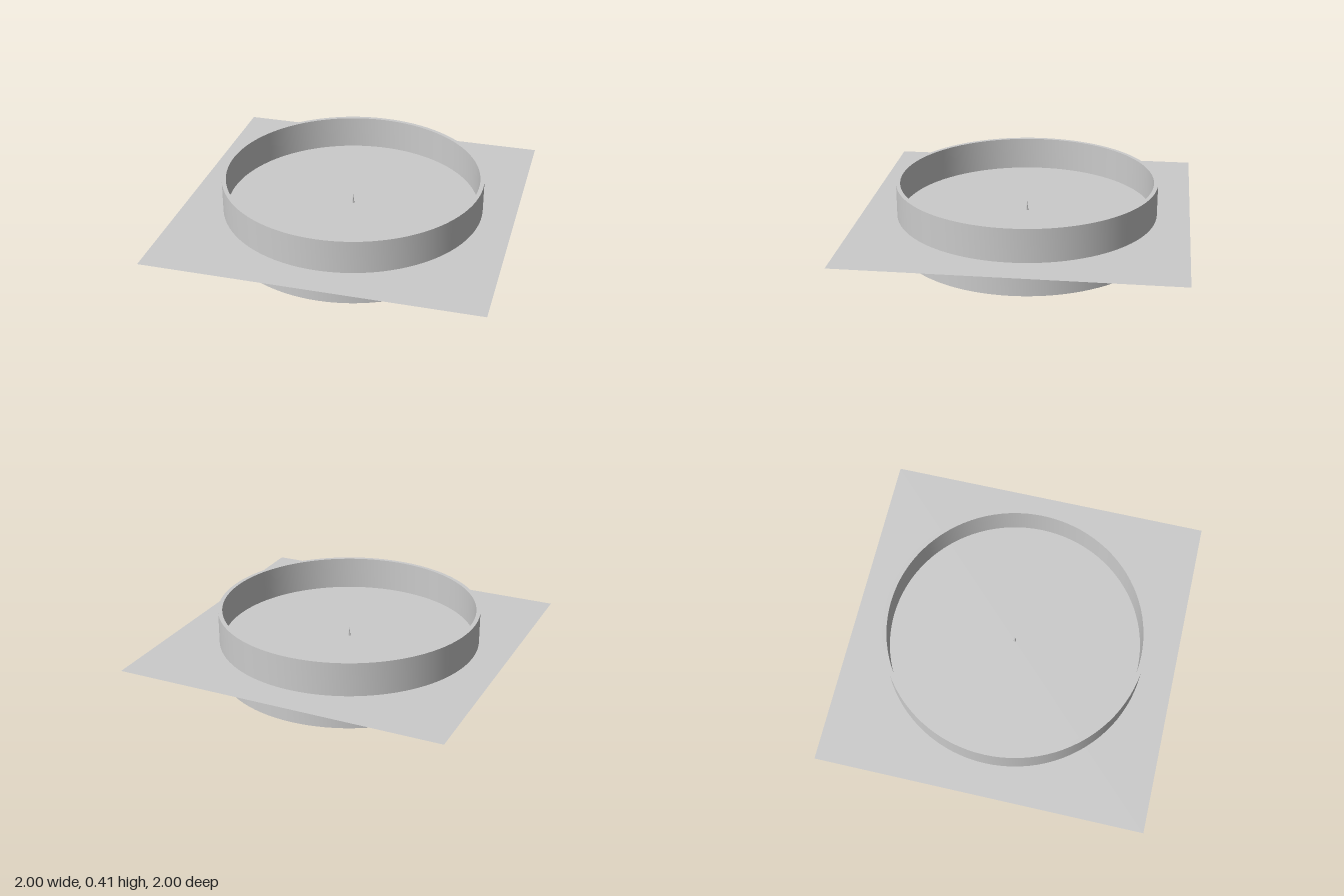
import * as THREE from 'three';
import { toCreasedNormals } from 'three/addons/utils/BufferGeometryUtils.js';

const HEIGHT = 0.41;
const OUTER = 0.8;
const INNER = 0.775;

export function createModel() {
  const group = new THREE.Group();
  const material = new THREE.MeshStandardMaterial({ color: 0xcccccc });
  const sheetMaterial = new THREE.MeshStandardMaterial({ color: 0xcccccc, side: THREE.DoubleSide });

  const add = (name, geometry, mat, y) => {
    const mesh = new THREE.Mesh(geometry, mat);
    mesh.name = name;
    mesh.position.y = y;
    group.add(mesh);
  };

  // Thin-walled round band, open at top and bottom
  const profile = [
    [OUTER, 0], [OUTER, HEIGHT], [INNER, HEIGHT], [INNER, 0], [OUTER, 0],
  ].map(([r, y]) => new THREE.Vector2(r, y));
  add('ringWall', toCreasedNormals(new THREE.LatheGeometry(profile, 96), 0.6), material, 0);

  // Square sheet without thickness, cutting the band at mid height
  add('squareSheet', new THREE.PlaneGeometry(2, 2).rotateX(-Math.PI / 2), sheetMaterial, HEIGHT / 2);

  // Tiny pointed pin standing at the centre of the sheet
  const pinHeight = 0.06;
  add('centrePin', new THREE.ConeGeometry(0.008, pinHeight, 16), material, HEIGHT / 2 + pinHeight / 2);

  return group;
}
